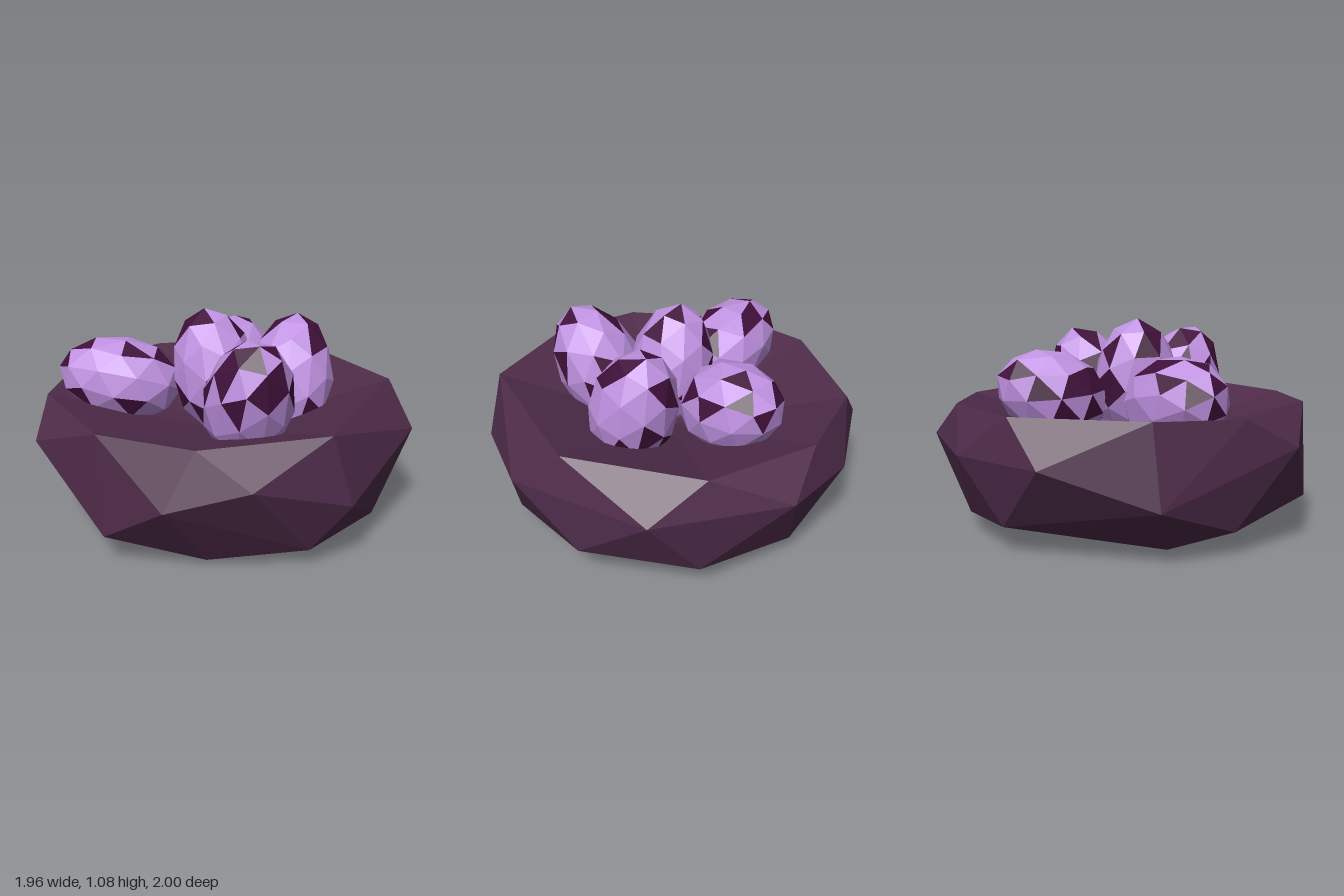
import * as THREE from 'three';
import { ConvexGeometry } from 'three/addons/geometries/ConvexGeometry.js';

const V = (x, y, z) => new THREE.Vector3(x, y, z);
const mat = (color) => new THREE.MeshStandardMaterial({ color, flatShading: true });

function meshFrom(points, material, name) {
  const geometry = new THREE.BufferGeometry().setFromPoints(points);
  geometry.computeVertexNormals();
  const mesh = new THREE.Mesh(geometry, material);
  mesh.name = name;
  return mesh;
}

// Seeded random numbers for the spots
function seeded(seed) {
  return () => {
    seed = (seed * 16807) % 2147483647;
    return seed / 2147483647;
  };
}

// Rough stone corners: rim (clockwise from above), widest belt and underside
const RIM = [
  [-0.1, 0.67, -0.91], [0.46, 0.66, -0.75], [0.85, 0.69, -0.18], [0.61, 0.68, 0.67], [0.03, 0.66, 0.9],
  [-0.46, 0.66, 0.8], [-0.9, 0.65, 0.28], [-0.92, 0.66, -0.17], [-0.58, 0.66, -0.74],
].map((p) => V(...p));
const BODY = [
  [-0.32, 0.45, -0.94], [0.14, 0.49, -1], [0.74, 0.48, -0.65], [0.98, 0.5, 0.04], [0.71, 0.34, 0.67],
  [0.29, 0.5, 0.95], [-0.1, 0.39, 1], [-0.43, 0.16, 0.84], [-0.86, 0.5, 0.56], [-0.98, 0.27, -0.15],
  [-0.8, 0.45, -0.65],
  [0.8, 0.12, 0.28], [0.52, 0.1, 0.68], [0.04, 0.03, 0.74], [-0.84, 0.12, 0.26], [-0.67, 0.01, -0.01],
  [0.54, 0, -0.3], [0.86, 0.2, -0.29], [0.49, 0.15, -0.74], [-0.04, 0.1, -0.85], [-0.48, 0.13, -0.75],
].map((p) => V(...p));

function createNest() {
  const nest = new THREE.Group();
  nest.name = 'nest';
  const material = mat(0x4f2c4a);

  // Outer shell: hull of the corners, left open inside the rim
  const pos = new ConvexGeometry([...RIM, ...BODY]).attributes.position;
  const shell = [];
  for (let i = 0; i < pos.count; i += 3) {
    const tri = [0, 1, 2].map((k) => new THREE.Vector3().fromBufferAttribute(pos, i + k));
    if (tri.some((p) => p.y < 0.6)) shell.push(...tri);
  }
  nest.add(meshFrom(shell, material, 'nestShell'));

  // Hollow: shallow fan from the rim down to the middle
  const centre = V(0, 0.4, 0);
  const hollow = RIM.flatMap((p, i) => [p, centre, RIM[(i + 1) % RIM.length]]);
  nest.add(meshFrom(hollow, material, 'nestHollow'));
  return nest;
}

// Egg along y, slightly narrower at the top, with some facets as dark spots
function createEgg(name, radius, half, seed, shellMat, spotMat) {
  const rand = seeded(seed);
  const pos = new THREE.IcosahedronGeometry(1, 1).attributes.position;
  const shell = [];
  const spots = [];
  for (let i = 0; i < pos.count; i += 3) {
    const target = rand() < 0.22 ? spots : shell;
    for (let k = 0; k < 3; k++) {
      const p = new THREE.Vector3().fromBufferAttribute(pos, i + k);
      const r = radius * (1 - 0.06 * p.y);
      target.push(V(p.x * r, p.y * half, p.z * r));
    }
  }
  const egg = new THREE.Group();
  egg.name = name;
  egg.add(meshFrom(shell, shellMat, 'eggShell'), meshFrom(spots, spotMat, 'eggSpots'));
  return egg;
}

export function createModel() {
  const model = new THREE.Group();
  model.name = 'nestWithEggs';
  model.add(createNest());

  const shellMat = mat(0xc092e2);
  const spotMat = mat(0x40103a);
  // name, centre, direction of the long axis, radius, half length
  const eggs = [
    ['centreEgg', [-0.06, 0.75, 0.03], [-0.17, 1, -0.03], 0.225, 0.335],
    ['frontEgg', [0.175, 0.71, 0.355], [0.22, 1, 0.42], 0.23, 0.345],
    ['backEgg', [-0.045, 0.69, -0.42], [0, 0.38, -1], 0.23, 0.3],
    ['leftEgg', [0.33, 0.7, -0.105], [0.05, 1, -0.36], 0.23, 0.34],
    ['rightEgg', [-0.57, 0.69, 0.07], [-1, 0.2, 0.17], 0.225, 0.33],
  ];
  eggs.forEach(([name, at, axis, radius, half], i) => {
    const egg = createEgg(name, radius, half, 4321 + i * 7919, shellMat, spotMat);
    egg.position.set(...at);
    egg.quaternion.setFromUnitVectors(V(0, 1, 0), V(...axis).normalize());
    model.add(egg);
  });
  return model;
}
